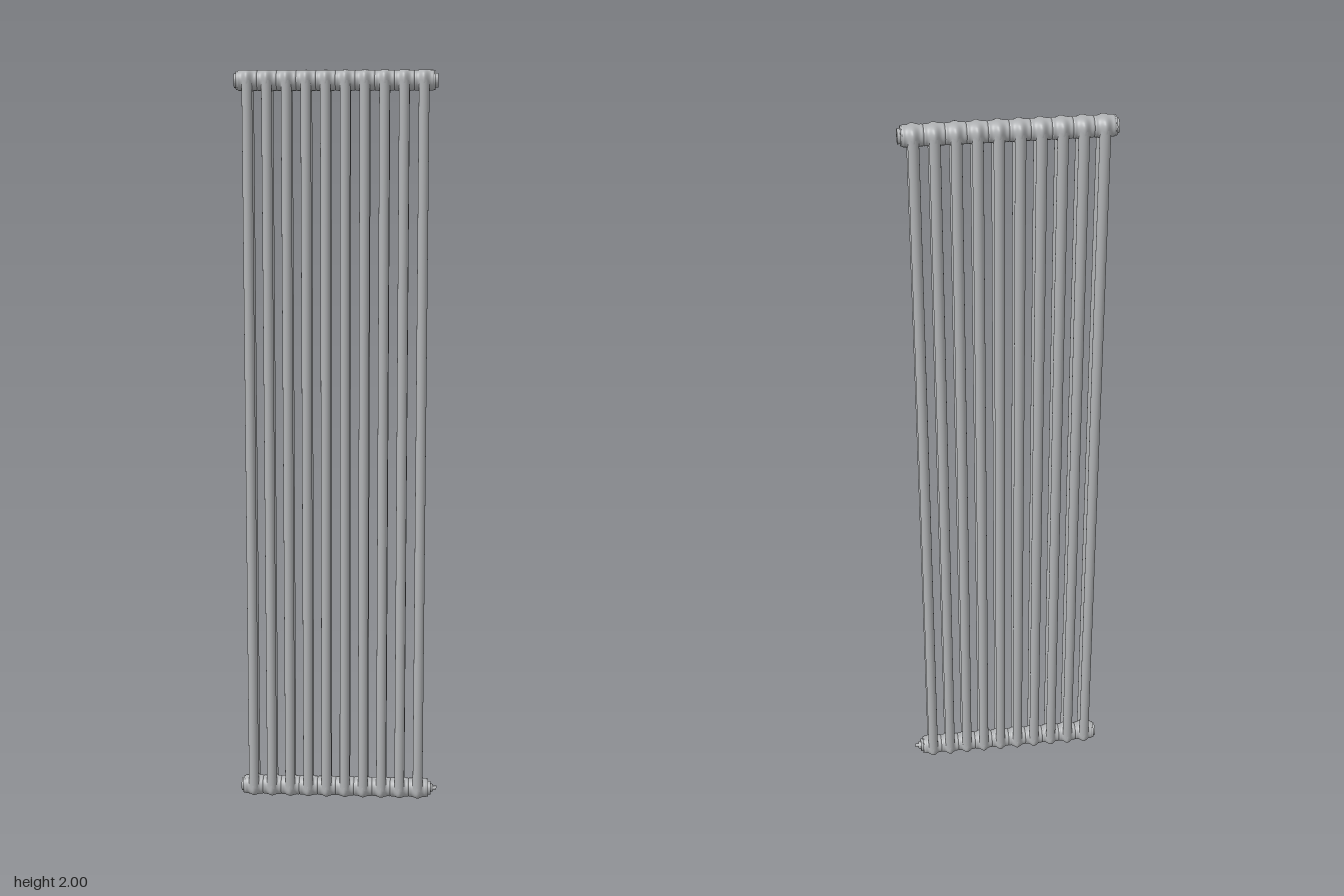
import * as THREE from 'three';

const SECTIONS = 10, PITCH = 0.0512, FIRST_X = -0.239;
const HEADER_Y = [0.027, 1.973];
const TUBE_R = 0.0137, TUBE_Z = 0.0217;

// Section head: round hub at its ends, swelling into a rounded block over the two tubes.
// inward = +1 if the tubes leave upwards, -1 if downwards.
function headGeometry(inward) {
  const half = PITCH / 2;
  const rows = 24, sides = 40;
  const geo = new THREE.CylinderGeometry(1, 1, 2 * half, sides, rows, true);
  geo.rotateZ(-Math.PI / 2);
  const p = geo.attributes.position;
  for (let i = 0; i < p.count; i++) {
    const x = p.getX(i), c = p.getZ(i), s = p.getY(i);
    const t = Math.min(1, Math.abs(x) / 0.018);
    const w = 0.5 + 0.5 * Math.cos(Math.PI * t);
    const high = s * inward > 0 ? 0.033 : 0.027;
    const block = Math.pow(Math.pow(Math.abs(c) / 0.0358, 2.8) + Math.pow(Math.abs(s) / high, 2.8), -1 / 2.8);
    const edge = Math.max(0, Math.abs(x) - half + 0.0022) / 0.0022;
    const r = 0.0264 * (1 - w) + block * w - 0.0016 * edge * edge;
    p.setXYZ(i, x, s * r, c * r);
  }
  // match the normals along the seam
  geo.computeVertexNormals();
  const n = geo.attributes.normal;
  for (let j = 0; j <= rows; j++) {
    const a = j * (sides + 1), b = a + sides;
    const v = new THREE.Vector3().fromBufferAttribute(n, a).add(new THREE.Vector3().fromBufferAttribute(n, b)).normalize();
    n.setXYZ(a, v.x, v.y, v.z);
    n.setXYZ(b, v.x, v.y, v.z);
  }
  return geo;
}

export function createModel() {
  const model = new THREE.Group();
  const paint = new THREE.MeshStandardMaterial({ color: 0xb0b2b4 });
  paint.name = 'grey enamel';

  const add = (parent, name, geo, x, y, z) => {
    const mesh = new THREE.Mesh(geo, paint);
    mesh.name = name;
    mesh.position.set(x, y, z);
    parent.add(mesh);
    return mesh;
  };

  // Radiator sections: two vertical tubes joined by a head at each end
  const tube = new THREE.CylinderGeometry(TUBE_R, TUBE_R, HEADER_Y[1] - HEADER_Y[0], 24, 1, true);
  const heads = [headGeometry(1), headGeometry(-1)];
  for (let i = 0; i < SECTIONS; i++) {
    const section = new THREE.Group();
    section.name = 'section' + (i + 1);
    section.position.x = FIRST_X + i * PITCH;
    for (const side of [-1, 1]) add(section, side > 0 ? 'frontTube' : 'backTube', tube, 0, 1, side * TUBE_Z);
    add(section, 'bottomHead', heads[0], 0, HEADER_Y[0], 0);
    add(section, 'topHead', heads[1], 0, HEADER_Y[1], 0);
    model.add(section);
  }

  // Flat disc or hexagon lying along x, from x0 to x1
  const disc = (parent, name, r, x0, x1, y, sides = 32, r2 = r) => {
    const geo = new THREE.CylinderGeometry(r2, r, x1 - x0, sides);
    geo.rotateZ(-Math.PI / 2);
    return add(parent, name, geo, (x0 + x1) / 2, y, 0);
  };

  // Ring with a hexagonal socket, extruded along x
  const socketRing = (parent, r, x0, x1, y) => {
    const shape = new THREE.Shape();
    shape.absarc(0, 0, r, 0, Math.PI * 2);
    const hole = new THREE.Path();
    for (let k = 0; k < 6; k++) {
      const a = -k * Math.PI / 3;
      if (k) hole.lineTo(0.009 * Math.cos(a), 0.009 * Math.sin(a));
      else hole.moveTo(0.009, 0);
    }
    hole.closePath();
    shape.holes.push(hole);
    const geo = new THREE.ExtrudeGeometry(shape, { depth: x1 - x0, bevelEnabled: false, curveSegments: 16 });
    geo.rotateY(Math.PI / 2);
    add(parent, 'socketRing', geo, x0, y, 0);
  };

  const left = FIRST_X - PITCH / 2;
  const right = FIRST_X + (SECTIONS - 0.5) * PITCH;
  HEADER_Y.forEach((y, i) => {
    const level = i ? 'top' : 'bottom';

    // Plugs closing the header on the -x side
    const plug = new THREE.Group();
    plug.name = level + 'RightPlug';
    disc(plug, 'collar', 0.0245, left - 0.0045, left + 0.003, y);
    socketRing(plug, 0.0185, -0.2745, left - 0.004, y);
    model.add(plug);

    // Plugs on the +x side
    const cap = new THREE.Group();
    cap.name = level + 'LeftPlug';
    disc(cap, 'collar', 0.0245, right - 0.003, right + 0.004, y);
    if (i) {
      socketRing(cap, 0.0185, right + 0.003, 0.259, y);
    } else {
      // Bleed valve at the bottom
      disc(cap, 'valveBase', 0.0185, right + 0.003, 0.258, y);
      disc(cap, 'valveNut', 0.014, 0.257, 0.2655, y, 6, 0.009);
      disc(cap, 'valveStem', 0.0055, 0.265, 0.2745, y, 16);
    }
    model.add(cap);
  });

  return model;
}
